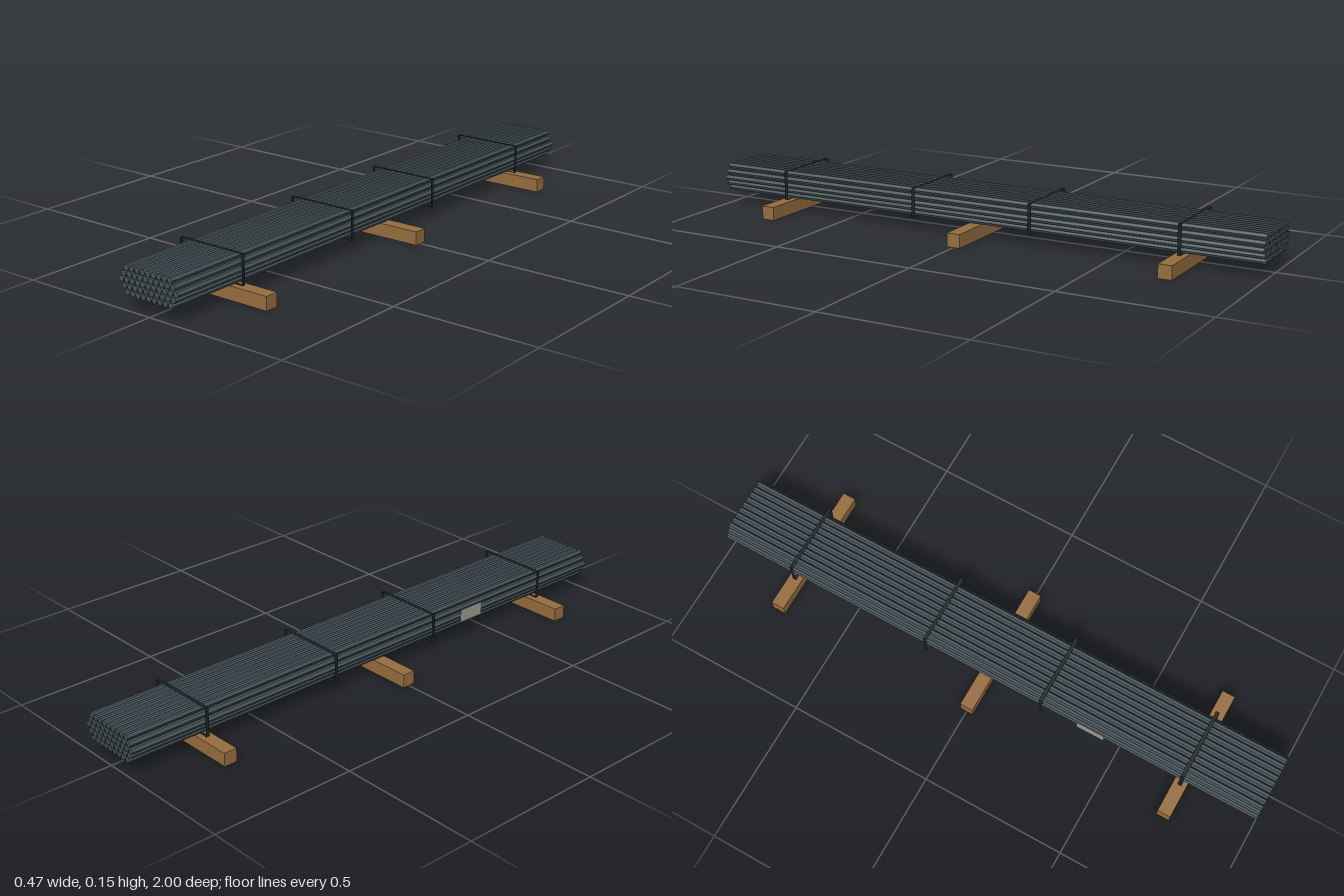
import * as THREE from 'three';

export function createModel() {
  const model = new THREE.Group();
  model.name = 'barBundle';

  const material = (name, color, extra = {}) => {
    const m = new THREE.MeshStandardMaterial({ color, ...extra });
    m.name = name;
    return m;
  };
  const steel = material('darkSteel', 0x48555a, { flatShading: true });
  const wood = material('timber', 0x966d3f);
  const band = material('blackBand', 0x1a2228, { side: THREE.DoubleSide });
  const paper = material('tagGrey', 0x9c988f, { side: THREE.DoubleSide });

  const add = (parent, name, geometry, mat, x, y, z) => {
    const mesh = new THREE.Mesh(geometry, mat);
    mesh.name = name;
    mesh.position.set(x, y, z);
    parent.add(mesh);
    return mesh;
  };

  // Hexagonal bars stacked in staggered rows
  const bars = new THREE.Group();
  bars.name = 'bars';
  model.add(bars);
  const barGeometry = new THREE.CylinderGeometry(0.01, 0.01, 2, 6, 1, false, Math.PI / 6);
  barGeometry.rotateX(Math.PI / 2);
  const pitch = 0.0219;
  [9, 10, 11, 10, 9].forEach((count, row) => {
    for (let i = 0; i < count; i++) {
      add(bars, 'bar', barGeometry, steel, (i - (count - 1) / 2) * pitch, 0.0566 + row * 0.0193, 0);
    }
  });

  // Timber bearers under the bundle
  const bearerGeometry = new THREE.BoxGeometry(0.466, 0.046, 0.046);
  for (const z of [-0.733, 0, 0.733]) add(model, 'bearer', bearerGeometry, wood, 0, 0.023, z);

  // Flat straps wrapped around the bundle as thin ribbons
  const halfWidth = 0.124, bottom = 0.0475, top = 0.147, ribbon = 0.013;
  const flat = new THREE.PlaneGeometry(halfWidth * 2, ribbon).rotateX(-Math.PI / 2);
  const upright = new THREE.PlaneGeometry(ribbon, top - bottom).rotateY(Math.PI / 2);
  for (const z of [-0.733, -0.217, 0.217, 0.733]) {
    const strap = new THREE.Group();
    strap.name = 'strap';
    strap.position.z = z;
    model.add(strap);
    add(strap, 'strapTop', flat, band, 0, top, 0);
    add(strap, 'strapBottom', flat, band, 0, bottom, 0);
    for (const s of [-1, 1]) add(strap, 'strapSide', upright, band, s * halfWidth, (top + bottom) / 2, 0);
  }

  // Label plate on the right side
  const tagGeometry = new THREE.PlaneGeometry(0.1, 0.046).rotateY(-Math.PI / 2);
  add(model, 'tag', tagGeometry, paper, -0.1215, 0.096, 0.4);

  return model;
}
